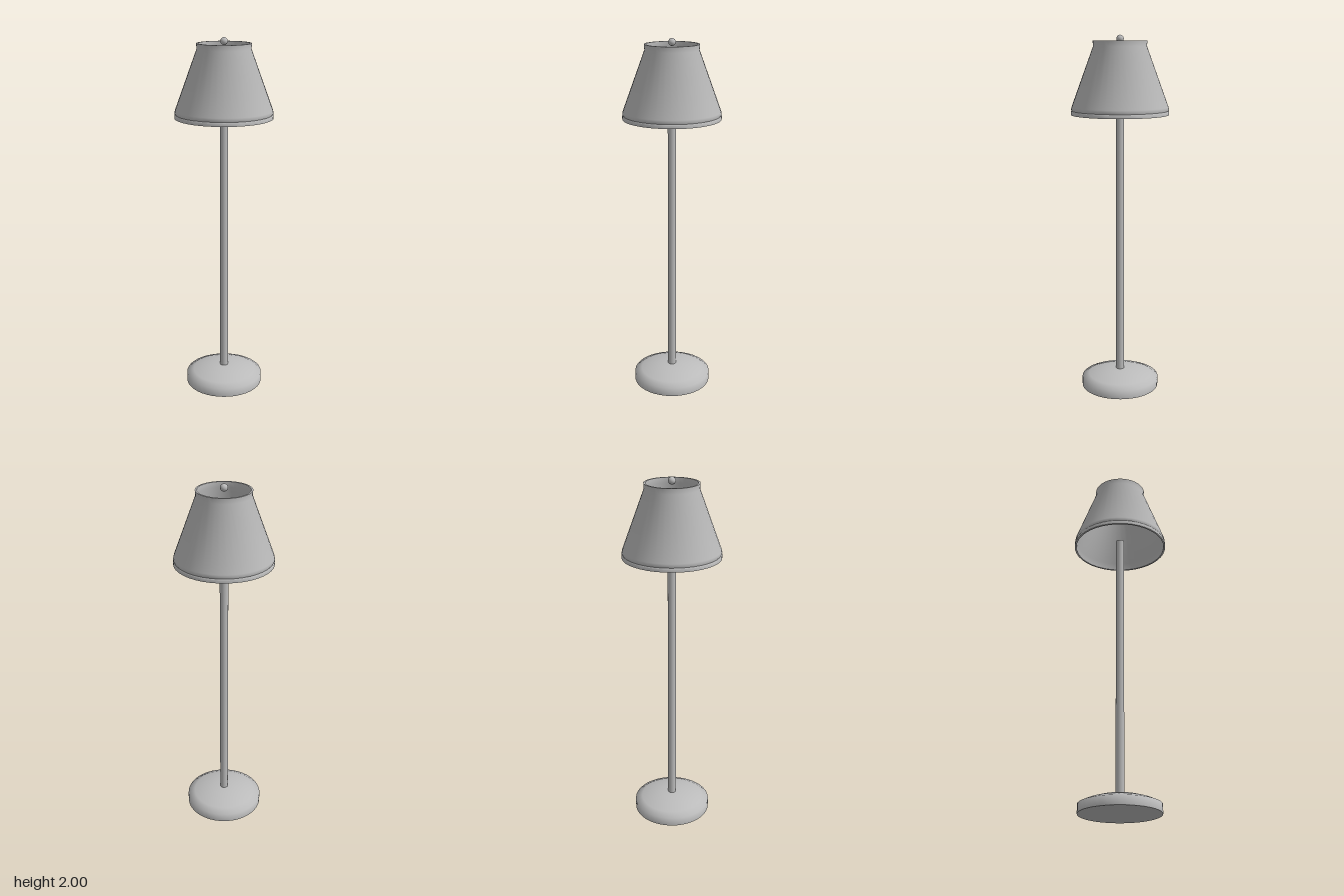
import * as THREE from 'three';
import { toCreasedNormals } from 'three/addons/utils/BufferGeometryUtils.js';

const SEGMENTS = 40;

// Revolve a list of [radius, height] pairs, listed upwards on the outside.
function turned(profile, crease) {
  const points = profile.map(([r, y]) => new THREE.Vector2(r, y));
  return toCreasedNormals(new THREE.LatheGeometry(points, SEGMENTS), crease);
}

export function createModel() {
  const lamp = new THREE.Group();
  lamp.name = 'floorLamp';

  const grey = new THREE.MeshStandardMaterial({ color: 0xbcbcbc });
  grey.name = 'grey';

  function add(name, geometry, y = 0) {
    const mesh = new THREE.Mesh(geometry, grey);
    mesh.name = name;
    mesh.position.y = y;
    lamp.add(mesh);
  }

  // Weighted foot with a softly domed top
  add('base', turned([
    [0, 0], [0.22, 0], [0.22, 0.05], [0.18, 0.068],
    [0.13, 0.084], [0.07, 0.096], [0, 0.098],
  ], 1.35));

  // Pole, ending just inside the shade
  const poleBottom = 0.08, poleTop = 1.62;
  add('pole', new THREE.CylinderGeometry(0.023, 0.023, poleTop - poleBottom, 24),
    (poleBottom + poleTop) / 2);

  // Open, thin-walled shade with a collar and a lower rim band
  add('shade', turned([
    [0.258, 1.575], [0.268, 1.575], [0.268, 1.592], [0.264, 1.597],
    [0.267, 1.603], [0.264, 1.618], [0.145, 1.94], [0.147, 1.97],
    [0.137, 1.97], [0.135, 1.94], [0.254, 1.615], [0.258, 1.575],
  ], 0.7));

  // Small ball in the upper opening
  add('finial', new THREE.SphereGeometry(0.02, 24, 16), 1.98);

  return lamp;
}
